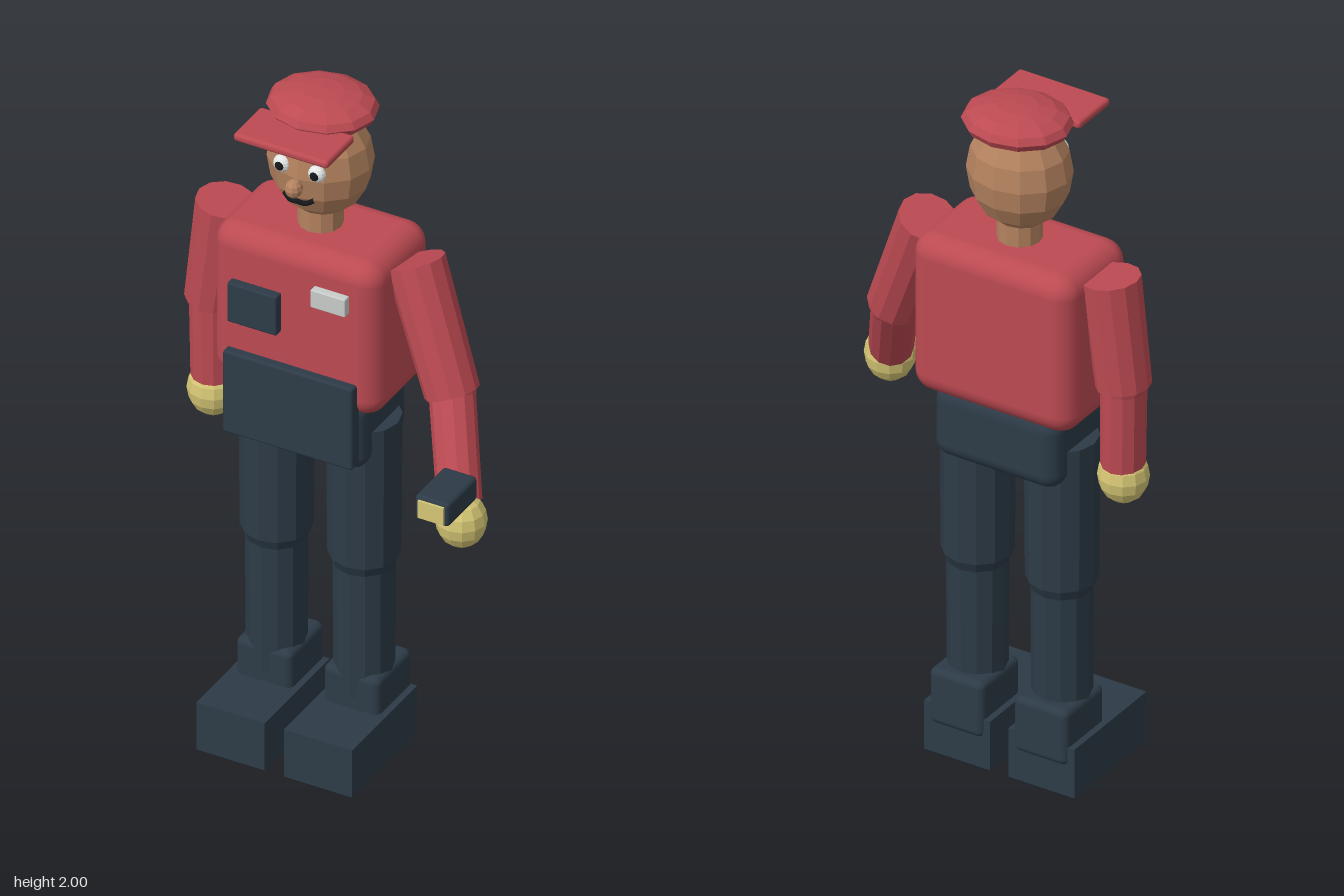
import * as THREE from 'three';
import { RoundedBoxGeometry } from 'three/addons/geometries/RoundedBoxGeometry.js';
import { toCreasedNormals } from 'three/addons/utils/BufferGeometryUtils.js';

const material = (name, color) => {
  const m = new THREE.MeshStandardMaterial({ color });
  m.name = name;
  return m;
};

export function createModel() {
  const red = material('uniform red', 0xbc4a52);
  const navy = material('dark navy', 0x2d3b47);
  const skin = material('skin', 0xb5835f);
  const yellow = material('glove yellow', 0xd6c775);
  const grey = material('tag grey', 0xc8ccc8);
  const white = material('eye white', 0xeceeee);
  const black = material('black', 0x14171b);

  const model = new THREE.Group();
  model.name = 'uniformedWorker';
  const CX = -0.106, CZ = -0.112;
  const vec = (p) => new THREE.Vector3(...p);

  const add = (name, geometry, mat, position = [0, 0, 0], parent = model) => {
    const mesh = new THREE.Mesh(geometry, mat);
    mesh.name = name;
    mesh.position.set(...position);
    parent.add(mesh);
    return mesh;
  };

  // Box given by its lower and upper corners; radius 0 leaves sharp edges
  const box = (name, mat, lo, hi, radius = 0, parent = model) => {
    const s = hi.map((v, i) => v - lo[i]);
    const g = radius ? new RoundedBoxGeometry(...s, 3, radius) : new THREE.BoxGeometry(...s);
    return add(name, g, mat, hi.map((v, i) => (v + lo[i]) / 2), parent);
  };

  // Faceted ellipsoid
  const ball = (name, mat, center, radii, parent = model, seg = 12, rings = 8) => {
    const g = new THREE.SphereGeometry(1, seg, rings).scale(...radii);
    return add(name, toCreasedNormals(g, 0.05), mat, center, parent);
  };

  // Faceted cylinder between two points
  const limb = (name, mat, from, to, rFrom, rTo, parent = model, sides = 12) => {
    const a = vec(from), b = vec(to), d = a.clone().sub(b);
    const g = new THREE.CylinderGeometry(rFrom, rTo, d.length(), sides);
    const mesh = add(name, toCreasedNormals(g, 0.3), mat, a.add(b).multiplyScalar(0.5).toArray(), parent);
    mesh.quaternion.setFromUnitVectors(new THREE.Vector3(0, 1, 0), d.normalize());
    return mesh;
  };

  // Body
  box('torso', red, [-0.355, 1.115, -0.267], [0.145, 1.59, 0.042], 0.06);
  box('hips', navy, [-0.3, 0.925, -0.245], [0.087, 1.14, 0.022], 0.045);
  box('apron', navy, [-0.3, 0.97, 0.025], [0.087, 1.225, 0.068], 0.008);
  box('chestPocket', navy, [-0.283, 1.325, 0.045], [-0.135, 1.447, 0.075], 0.006);
  box('nameTag', grey, [-0.034, 1.45, 0.05], [0.07, 1.506, 0.075], 0.004);

  // Head
  const head = new THREE.Group();
  head.name = 'head';
  model.add(head);
  limb('neck', skin, [CX, 1.68, CZ], [CX, 1.57, CZ], 0.061, 0.061, head);
  ball('skull', skin, [CX, 1.795, CZ], [0.145, 0.167, 0.13], head);
  ball('nose', skin, [CX, 1.775, 0.032], [0.024, 0.027, 0.026], head, 10, 6);
  for (const side of [-1, 1]) {
    const x = CX + side * 0.052;
    ball('eye', white, [x, 1.82, 0.001], [0.025, 0.025, 0.02], head, 12, 8);
    ball('pupil', black, [x, 1.82, 0.018], [0.013, 0.013, 0.006], head, 10, 6);
  }
  const smile = new THREE.CatmullRomCurve3([
    [-0.044, 1.734, 0.003], [-0.024, 1.724, 0.012], [0, 1.726, 0.016], [0.024, 1.724, 0.012], [0.044, 1.734, 0.003],
  ].map(([x, y, z]) => new THREE.Vector3(CX + x, y, z)));
  add('mouth', new THREE.TubeGeometry(smile, 12, 0.007, 6), black, [0, 0, 0], head);

  // Cap
  ball('capCrown', red, [CX, 1.949, -0.123], [0.153, 0.051, 0.135], head);
  box('capBrim', red, [CX - 0.141, 1.921, -0.043], [CX + 0.141, 1.945, 0.107], 0.01, head);

  // Legs
  for (const [name, x] of [['rightLeg', -0.237], ['leftLeg', 0.024]]) {
    const leg = new THREE.Group();
    leg.name = name;
    model.add(leg);
    limb('thigh', navy, [x, 1.03, CZ], [x, 0.6, CZ], 0.1, 0.097, leg);
    limb('knee', navy, [x, 0.6, CZ], [x, 0.57, CZ], 0.096, 0.084, leg);
    limb('shin', navy, [x, 0.58, CZ], [x, 0.18, CZ], 0.083, 0.081, leg);
    box('ankle', navy, [x - 0.084, 0.09, -0.222], [x + 0.084, 0.257, -0.036], 0.02, leg);
    box('shoe', navy, [x - 0.102, 0, -0.212], [x + 0.102, 0.148, 0.136], 0, leg);
  }

  // Arms: shoulder, elbow, wrist and hand centres
  const arms = [
    ['rightArm', [-0.39, 1.56, -0.115], [-0.43, 1.245, -0.115], [-0.426, 1.0, -0.112], [-0.426, 0.967, -0.11]],
    ['leftArm', [0.175, 1.555, -0.115], [0.315, 1.22, -0.06], [0.412, 0.99, 0.075], [0.43, 0.952, 0.098]],
  ];
  for (const [name, shoulder, elbow, wrist, hand] of arms) {
    const arm = new THREE.Group();
    arm.name = name;
    model.add(arm);
    limb('upperArm', red, shoulder, elbow, 0.081, 0.075, arm);
    ball('elbow', red, elbow, [0.064, 0.064, 0.064], arm);
    limb('forearm', red, elbow, wrist, 0.062, 0.06, arm);
    ball('glove', yellow, hand, [0.07, 0.08, 0.068], arm);
  }
  ball('thumb', yellow, [0.38, 0.98, 0.115], [0.025, 0.045, 0.028], model, 10, 6);

  // Handheld scanner
  box('scannerBody', navy, [0.378, 1.03, 0.098], [0.48, 1.103, 0.257], 0.012);
  box('scannerScreen', yellow, [0.392, 1.04, 0.255], [0.468, 1.093, 0.264]);

  return model;
}
